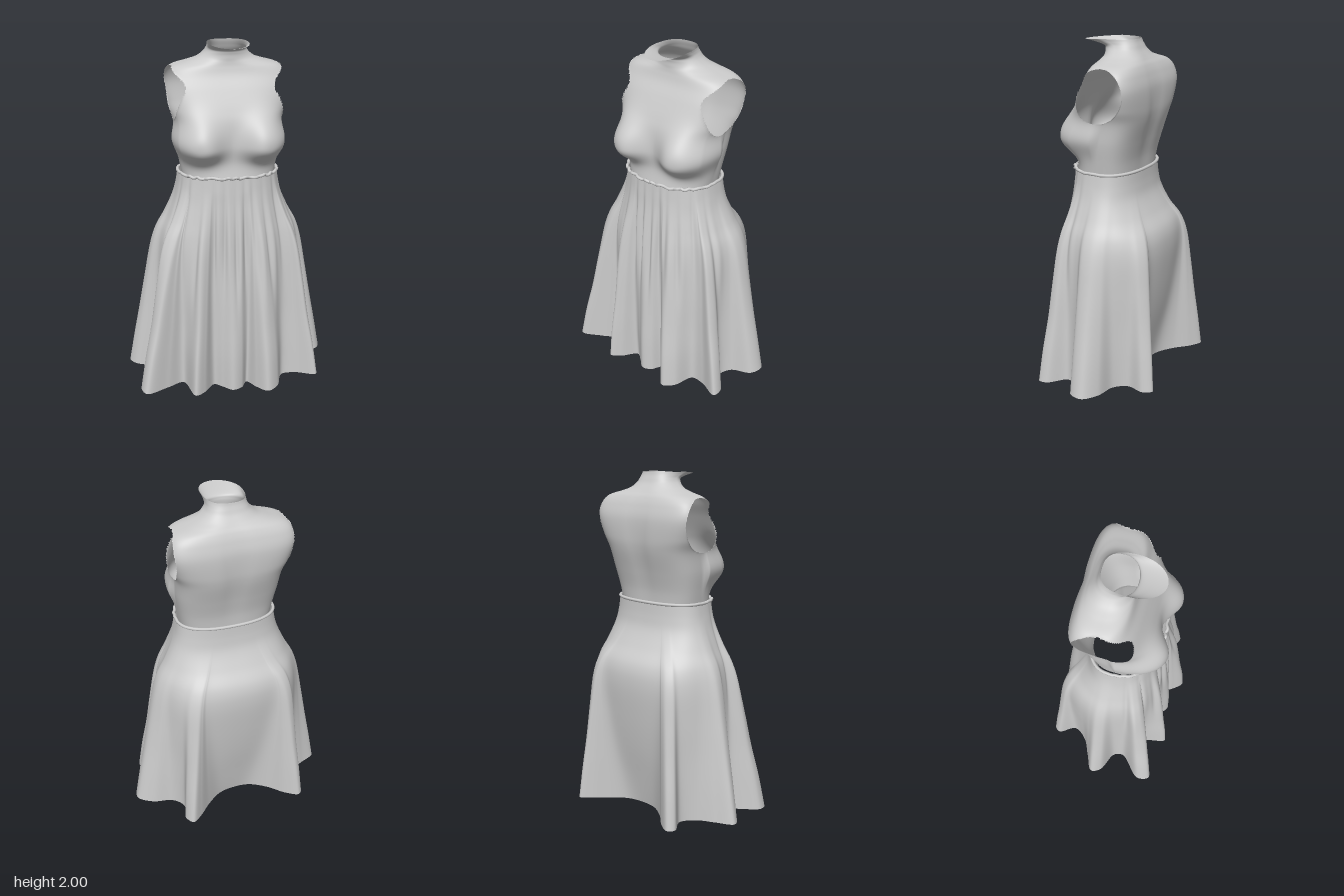
import * as THREE from 'three';

const material = new THREE.MeshStandardMaterial({ color: 0xcccccc, side: THREE.DoubleSide });
const bell = (d, s) => Math.exp(-(d * d) / (s * s));

// Smooth interpolation through rows of numbers, t from 0 to 1
function sampleRows(rows, t) {
  const s = Math.min(t, 0.99999) * (rows.length - 1), i = Math.floor(s), f = s - i;
  const row = (k) => rows[Math.min(Math.max(k, 0), rows.length - 1)];
  return rows[0].map((_, c) => {
    const a = row(i - 1)[c], b = row(i)[c], d = row(i + 1)[c], e = row(i + 2)[c];
    return b + 0.5 * f * (d - a + f * (2 * a - 5 * b + 4 * d - e + f * (3 * (b - d) + e - a)));
  });
}

// Closed loops stacked from bottom to top; inHole marks vertices inside an
// opening and snap moves the ones on its border onto its edge
function loft(name, rows, cols, point, inHole, snap) {
  const verts = [], index = [];
  for (let i = 0; i <= rows; i++)
    for (let j = 0; j < cols; j++) verts.push(point(i / rows, j, cols));
  const inside = verts.map((v) => (inHole ? inHole(v) : false));
  const border = new Set();
  for (let i = 0; i < rows; i++) {
    for (let j = 0; j < cols; j++) {
      const k = (j + 1) % cols;
      const a = i * cols + j, b = i * cols + k, c = a + cols, d = b + cols;
      const quad = [a, b, c, d];
      if (quad.every((q) => inside[q])) continue;
      quad.forEach((q) => inside[q] && border.add(q));
      index.push(a, b, d, a, d, c);
    }
  }
  border.forEach((q) => snap(verts[q]));
  const geo = new THREE.BufferGeometry().setFromPoints(verts);
  geo.setIndex(index);
  geo.computeVertexNormals();
  const mesh = new THREE.Mesh(geo, material);
  mesh.name = name;
  return mesh;
}

// Bodice sections: y, half width, front z, back z, squareness
const bodiceRows = [
  [1.265, 0.265, 0.215, -0.14, 2.3], [1.35, 0.278, 0.204, -0.15, 2.4],
  [1.45, 0.293, 0.212, -0.175, 2.5], [1.57, 0.302, 0.205, -0.209, 2.7],
  [1.65, 0.33, 0.182, -0.221, 3], [1.75, 0.352, 0.137, -0.222, 3.4],
  [1.82, 0.342, 0.1, -0.205, 3.3], [1.865, 0.305, 0.085, -0.185, 2.8],
  [1.892, 0.22, 0.08, -0.165, 2.3], [1.912, 0.165, 0.079, -0.15, 2],
  [1.94, 0.128, 0.08, -0.13, 2], [1.965, 0.112, 0.093, -0.118, 2],
  [1.984, 0.11, 0.15, -0.11, 2], [1.999, 0.113, 0.222, -0.106, 2],
];

function bodicePoint(t, j, cols) {
  const [height, w, front, back, p] = sampleRows(bodiceRows, t);
  const a = (j / cols) * Math.PI * 2, s = Math.sin(a), c = Math.cos(a);
  const power = (v, e) => Math.sign(v) * Math.abs(v) ** e;
  const q = c < 0 ? p * 1.35 : p;
  let x = w * power(s, 2 / q), y = height;
  let z = (front + back) / 2 + ((front - back) / 2) * power(c, 2 / q);
  if (c > 0) {
    // Rounded bust, and a collar lip that dips towards the front
    const d = Math.hypot((Math.abs(x) - 0.185) / 0.12, (y - 1.45) / (y > 1.45 ? 0.15 : 0.09));
    z += 0.1 * Math.exp(-(d ** 2.6)) * Math.min(1, c * 2.5);
    x += Math.sign(x) * 0.025 * bell(y - 1.47, 0.08) * Math.abs(s);
    y -= 0.014 * c * Math.max(0, (height - 1.95) / 0.05);
  } else {
    // Shallow spine groove
    z += 0.013 * bell(x, 0.06) * bell(y - 1.6, 0.25) * -c;
  }
  return new THREE.Vector3(x, y, z);
}

// Armholes: a slanted oval seen from the side
const HOLE = { y: 1.718, z: -0.025, ry: 0.15, rz: 0.153, slant: 0.15 };
const holeUV = (v) => [
  (v.z - HOLE.z + HOLE.slant * (v.y - HOLE.y)) / HOLE.rz, (v.y - HOLE.y) / HOLE.ry,
];
const inArmhole = (v) => Math.abs(v.x) > 0.18 && Math.hypot(...holeUV(v)) < 1;
function snapToArmhole(v) {
  const [u, h] = holeUV(v), l = Math.hypot(u, h) || 1;
  v.y = HOLE.y + (h / l) * HOLE.ry;
  v.z = HOLE.z + (u / l) * HOLE.rz - HOLE.slant * (v.y - HOLE.y);
}

// Hem outline as x, z pairs, going from the front round by +x
const hemOutline = new THREE.CatmullRomCurve3([
  [-0.02, 0.325], [0.035, 0.305], [0.075, 0.25], [0.12, 0.32], [0.18, 0.382], [0.245, 0.34],
  [0.295, 0.235], [0.38, 0.24], [0.495, 0.285], [0.505, 0.225], [0.425, 0.13], [0.46, 0.06],
  [0.58, 0.01], [0.6, -0.07], [0.52, -0.135], [0.4, -0.165], [0.345, -0.235], [0.365, -0.335],
  [0.33, -0.385], [0.27, -0.345], [0.19, -0.265], [0.1, -0.2], [0, -0.18], [-0.1, -0.19],
  [-0.2, -0.25], [-0.29, -0.335], [-0.365, -0.375], [-0.395, -0.34], [-0.345, -0.24], [-0.4, -0.16],
  [-0.5, -0.11], [-0.595, -0.06], [-0.57, 0.0], [-0.45, 0.06], [-0.435, 0.12], [-0.555, 0.25],
  [-0.53, 0.325], [-0.4, 0.27], [-0.3, 0.225], [-0.25, 0.365], [-0.19, 0.33], [-0.12, 0.25], [-0.075, 0.28],
].map(([x, z]) => new THREE.Vector3(x, 0, z)), true);

// Skirt sections: y, half width, front depth, back depth, squareness, fold strength
const skirtRows = [
  [0.0, 0.52, 0.33, 0.33, 2.2, 1], [0.2, 0.5, 0.325, 0.335, 2.2, 0.86],
  [0.4, 0.478, 0.312, 0.338, 2.2, 0.7], [0.6, 0.456, 0.298, 0.336, 2.3, 0.54],
  [0.8, 0.432, 0.28, 0.328, 2.4, 0.37], [0.92, 0.405, 0.268, 0.3, 2.4, 0.25],
  [1.02, 0.36, 0.257, 0.235, 2.4, 0.14], [1.12, 0.32, 0.246, 0.184, 2.4, 0.06],
  [1.2, 0.298, 0.24, 0.168, 2.4, 0], [1.285, 0.284, 0.235, 0.163, 2.4, 0],
];
const sectionRadius = ([, w, f, b, p], a) =>
  ((Math.abs(Math.sin(a)) / w) ** p + (Math.abs(Math.cos(a)) / (Math.cos(a) > 0 ? f : b)) ** p) ** (-1 / p);

// Narrow pleat creases on the front and sides, by angle
const pleats = [-1.25, -1.0, -0.72, -0.45, -0.22, 0.03, 0.24, 0.42, 0.66, 0.95, 1.2];

function skirtPoint(t, j, cols) {
  const row = sampleRows(skirtRows, t);
  const h = hemOutline.getPoint(j / cols);
  const a = Math.atan2(h.x, h.z);
  const fold = Math.hypot(h.x, h.z) / sectionRadius(skirtRows[0], a);
  // Folds at the back fade out sooner, leaving the hips smooth
  const strength = Math.max(0, row[5]) ** (1 + 0.8 * Math.max(0, -Math.cos(a)));
  let r = sectionRadius(row, a) * (1 + strength * (fold - 1));
  pleats.forEach((c, k) => {
    const reach = bell(row[0] - 0.88 - 0.06 * Math.sin(k * 2.3), 0.25);
    r += reach * (0.008 * bell(a - c - 0.09, 0.06) - 0.011 * bell(a - c, 0.045));
  });
  // The front of the hem hangs lower than the sides and back
  const y = row[0] + (1 - t) ** 2 * 0.06 * (1 - Math.max(0, Math.cos(a)));
  return new THREE.Vector3(r * Math.sin(a), y, r * Math.cos(a));
}

// Gathered edge round the waist: bumpy in front, plain behind
function waistEdge() {
  const top = skirtRows[skirtRows.length - 1], points = [];
  for (let i = 0; i < 160; i++) {
    const a = (i / 160) * Math.PI * 2, bump = Math.min(1, Math.max(0, Math.cos(a) + 0.2));
    const r = sectionRadius(top, a) + bump * (0.004 + 0.004 * Math.sin(a * 31 + Math.sin(a * 9)));
    const y = 1.28 + 0.004 * bump * Math.sin(a * 23 + 2 * Math.sin(a * 7));
    points.push(new THREE.Vector3(r * Math.sin(a), y, r * Math.cos(a)));
  }
  const curve = new THREE.CatmullRomCurve3(points, true);
  const mesh = new THREE.Mesh(new THREE.TubeGeometry(curve, 400, 0.009, 8, true), material);
  mesh.name = 'waistGathers';
  return mesh;
}

export function createModel() {
  const dress = new THREE.Group();
  dress.name = 'dress';
  dress.add(
    loft('bodice', 120, 200, bodicePoint, inArmhole, snapToArmhole),
    loft('pleatedSkirt', 60, 560, skirtPoint),
    waistEdge(),
  );
  return dress;
}
